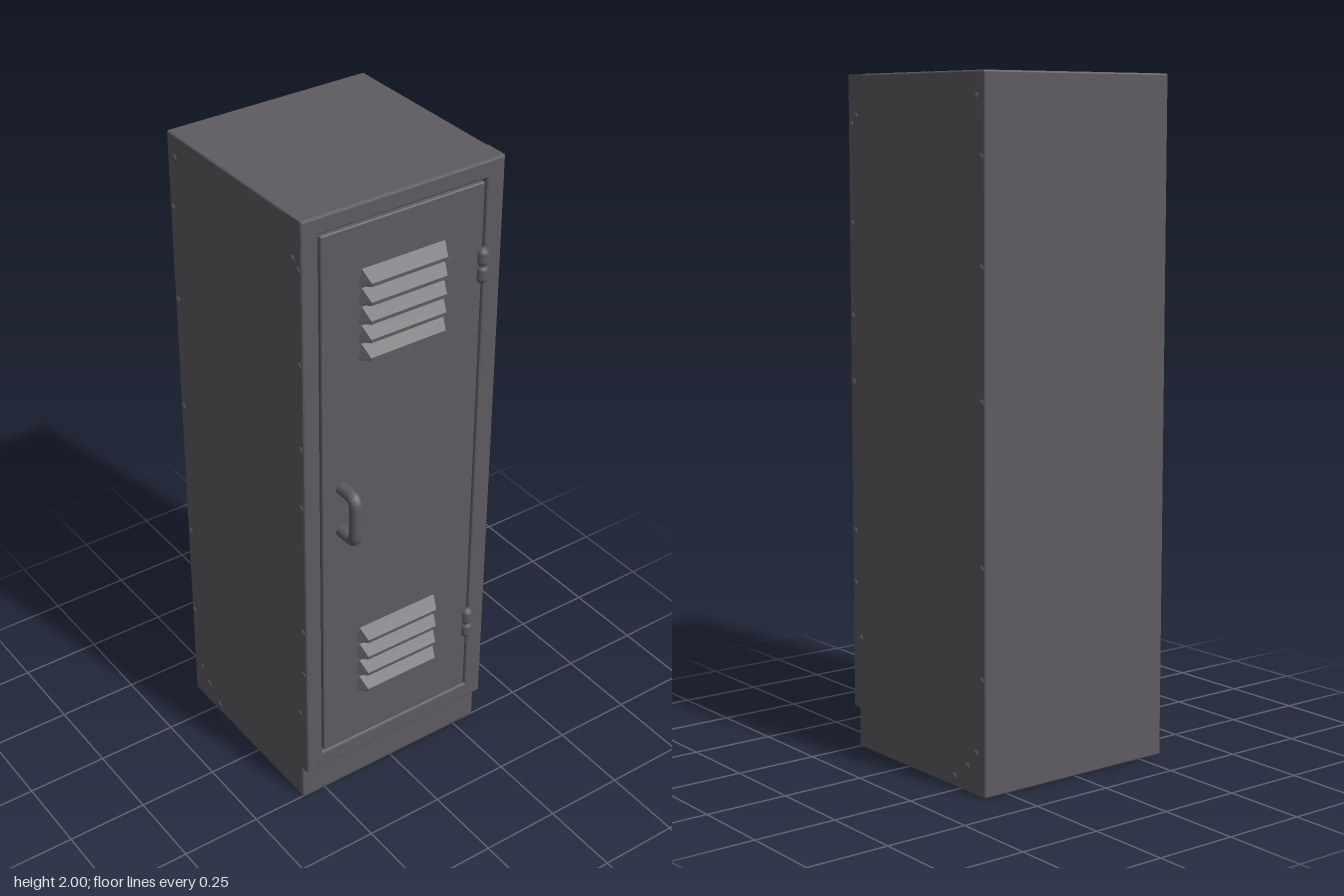
import * as THREE from 'three';
import { RoundedBoxGeometry } from 'three/addons/geometries/RoundedBoxGeometry.js';
import { ConvexGeometry } from 'three/addons/geometries/ConvexGeometry.js';

const FRONT = 0.28, BACK = -0.368, HALF = 0.329;

function rectangle(Type, x0, y0, x1, y1) {
  const p = new Type();
  p.moveTo(x0, y0);
  p.lineTo(x1, y0);
  p.lineTo(x1, y1);
  p.lineTo(x0, y1);
  p.closePath();
  return p;
}

export function createModel() {
  const root = new THREE.Group();
  const paint = new THREE.MeshStandardMaterial({ color: 0x5e5b61 });
  paint.name = 'greyPaint';

  function add(name, geometry, x = 0, y = 0, z = 0, parent = root) {
    const mesh = new THREE.Mesh(geometry, paint);
    mesh.name = name;
    mesh.position.set(x, y, z);
    parent.add(mesh);
    return mesh;
  }

  // Cabinet shell, its lower front showing as the recessed plinth
  const bodyFront = 0.252;
  add('cabinet', new RoundedBoxGeometry(HALF * 2, 2, bodyFront - BACK, 2, 0.006),
    0, 1, (bodyFront + BACK) / 2);

  // Front frame with the door opening
  const b = 0.006;
  const outline = rectangle(THREE.Shape, -HALF + b, 0.12 + b, HALF - b, 2 - b);
  outline.holes.push(rectangle(THREE.Path, -0.275 - b, 0.176 - b, 0.27 + b, 1.946 + b));
  add('frontFrame', new THREE.ExtrudeGeometry(outline, {
    depth: FRONT - 0.2 - 2 * b, bevelThickness: b, bevelSize: b, bevelSegments: 2,
  }), 0, 0, 0.2 + b);

  // Door set into the opening with a narrow gap
  add('door', new RoundedBoxGeometry(0.533, 1.758, 0.06, 2, 0.005), -0.0025, 1.061, FRONT - 0.03);

  // Vent louvres: hoods that slope out to a lip at the bottom
  const louvre = new ConvexGeometry([
    [-0.148, 0, -0.005], [0.148, 0, -0.005], [-0.148, 0, 0], [0.148, 0, 0],
    [-0.125, 0.002, 0.03], [0.125, 0.002, 0.03], [-0.125, 0.012, 0.03], [0.125, 0.012, 0.03],
    [-0.136, 0.046, 0], [0.136, 0.046, 0], [-0.136, 0.046, -0.005], [0.136, 0.046, -0.005],
  ].map(p => new THREE.Vector3(...p)));
  for (const [name, bottom, count, step] of [['upperVent', 1.532, 5, 0.057], ['lowerVent', 0.365, 4, 0.063]]) {
    const vent = new THREE.Group();
    vent.name = name;
    root.add(vent);
    for (let i = 0; i < count; i++) add('louvre', louvre, -0.003, bottom + i * step, FRONT, vent);
  }

  // Pull handle with chamfered corners
  const v = (y, z) => new THREE.Vector3(-0.204, y, z);
  const path = new THREE.CurvePath();
  path.add(new THREE.LineCurve3(v(0.987, 0.26), v(0.987, 0.322)));
  path.add(new THREE.QuadraticBezierCurve3(v(0.987, 0.322), v(0.987, 0.349), v(1.017, 0.349)));
  path.add(new THREE.LineCurve3(v(1.017, 0.349), v(1.107, 0.349)));
  path.add(new THREE.QuadraticBezierCurve3(v(1.107, 0.349), v(1.133, 0.349), v(1.133, 0.322)));
  path.add(new THREE.LineCurve3(v(1.133, 0.322), v(1.133, 0.26)));
  add('handle', new THREE.TubeGeometry(path, 48, 0.019, 12), 0, 0, 0);

  // Hinges, each with two knuckles and a pin
  const knuckle = new THREE.CapsuleGeometry(0.018, 0.022, 3, 12);
  const pin = new THREE.CylinderGeometry(0.012, 0.012, 0.09, 12);
  for (const y of [0.43, 1.687]) {
    const hinge = new THREE.Group();
    hinge.name = 'hinge';
    hinge.position.set(0.265, y, 0.28);
    root.add(hinge);
    add('hingePin', pin, 0, 0, 0, hinge);
    for (const s of [-1, 1]) add('hingeKnuckle', knuckle, 0, s * 0.026, 0, hinge);
  }

  // Small bumps along the side panels, as [z, y]
  const bump = new THREE.SphereGeometry(0.011, 10, 6);
  const spots = [
    [0.24, 1.88], [0.264, 1.855], [0.264, 1.57], [0.264, 1.3], [0.264, 1.105], [0.264, 0.66],
    [0.264, 0.5], [0.24, 0.335], [-0.33, 1.93], [-0.352, 1.77], [-0.352, 1.475], [-0.352, 1.11],
    [-0.352, 0.65], [-0.352, 0.335], [-0.325, 0.12], [-0.285, 0.075], [-0.225, 0.03],
  ];
  for (const side of [-1, 1]) {
    for (const [z, y] of spots) add('rivet', bump, side * HALF, y, z).scale.x = 0.35;
  }

  return root;
}
